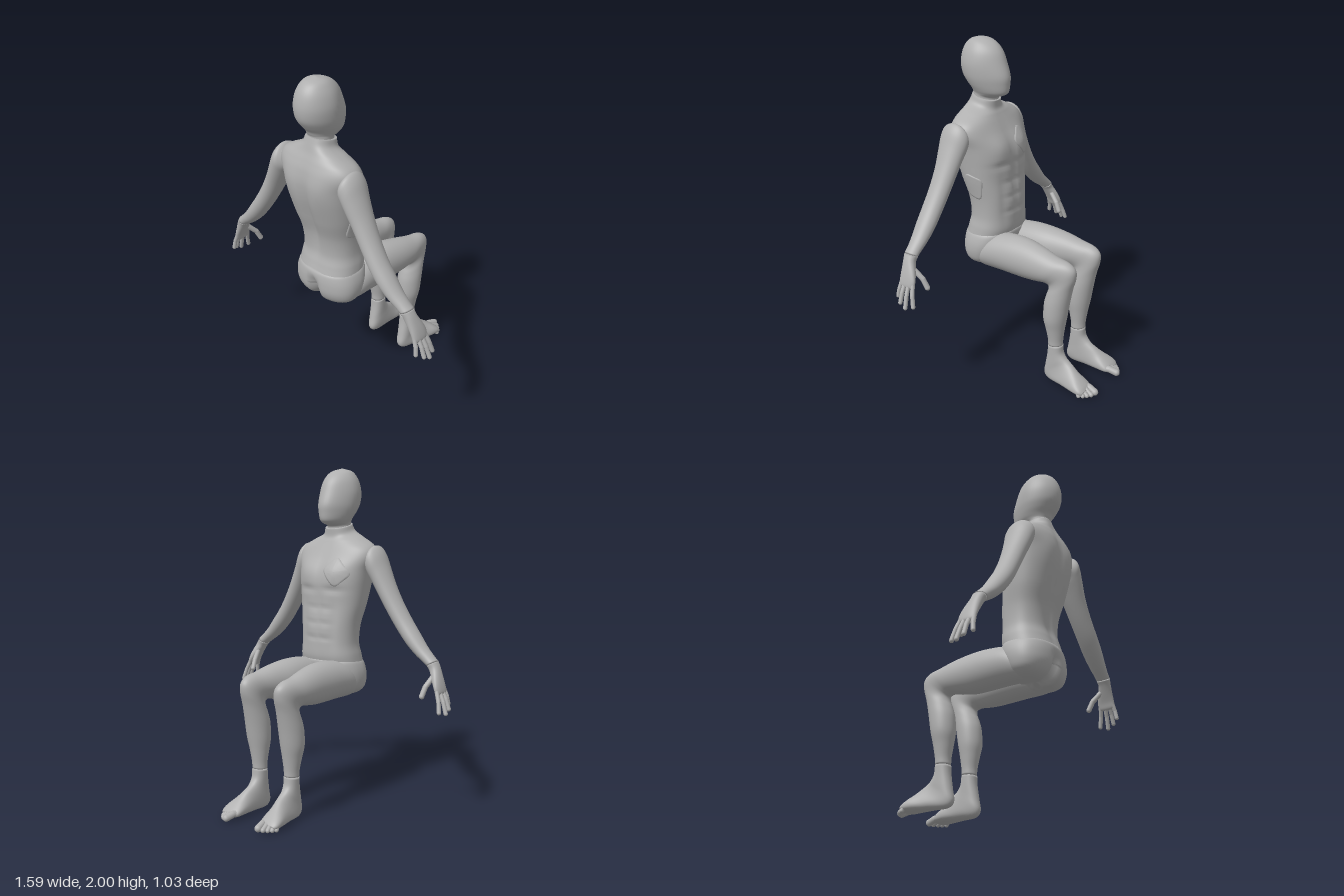
import * as THREE from 'three';
import { mergeGeometries } from 'three/addons/utils/BufferGeometryUtils.js';

const grey = new THREE.MeshStandardMaterial({ color: 0xb0b0b0 });
grey.name = 'grey';

const V = (x, y, z) => new THREE.Vector3(x, y, z);
const bell = (v, centre, width) => Math.exp(-(((v - centre) / width) ** 2));
const power = (v, e) => Math.sign(v) * Math.abs(v) ** e;

function part(name, geometry) {
  const mesh = new THREE.Mesh(geometry, grey);
  mesh.name = name;
  return mesh;
}

// Smooth skin through cross-sections. Each section is [u1, v1, u2, v2, w, halfWidth]:
// two opposite edge points in the profile plane, then centre and half width across it.
// plane 'zy' takes u=z, v=y, w=x; plane 'xy' takes u=x, v=y, w=z. side mirrors x.
function loft(sections, { plane = 'zy', side = 1, sides = 40, steps = 5, square = 1, shape } = {}) {
  const edgeA = new THREE.CatmullRomCurve3(sections.map(s => V(s[0], s[1], s[2])), false, 'catmullrom', 0.5);
  const edgeB = new THREE.CatmullRomCurve3(sections.map(s => V(s[3], s[4], s[5])), false, 'catmullrom', 0.5);
  const rings = (sections.length - 1) * steps;
  const points = [];
  const index = [];
  const add = (u, v, w) => {
    const p = plane === 'zy' ? V(w, v, u) : V(u, v, w);
    if (shape) shape(p);
    p.x *= side;
    points.push(p);
  };
  for (let i = 0; i <= rings; i++) {
    const a = edgeA.getPoint(i / rings);
    const b = edgeB.getPoint(i / rings);
    for (let j = 0; j < sides; j++) {
      const angle = (j / sides) * Math.PI * 2;
      const c = power(Math.cos(angle), square) / 2;
      const s = power(Math.sin(angle), square);
      add((a.x + a.z) / 2 + c * (a.x - a.z), (a.y + b.x) / 2 + c * (a.y - b.x), b.y + s * b.z);
    }
  }
  for (const i of [0, rings]) {
    const a = edgeA.getPoint(i / rings);
    const b = edgeB.getPoint(i / rings);
    add((a.x + a.z) / 2, (a.y + b.x) / 2, b.y);
  }
  const first = points.length - 2;
  for (let j = 0; j < sides; j++) {
    const k = (j + 1) % sides;
    for (let i = 0; i < rings; i++) {
      const r = i * sides;
      index.push(r + j, r + sides + j, r + k, r + k, r + sides + j, r + sides + k);
    }
    index.push(first, j, k, first + 1, rings * sides + k, rings * sides + j);
  }
  // turn the faces outward whichever way the sections run
  let volume = 0;
  for (let i = 0; i < index.length; i += 3) {
    const [p, q, r] = [points[index[i]], points[index[i + 1]], points[index[i + 2]]];
    volume += p.dot(q.clone().cross(r));
  }
  if (volume < 0) index.reverse();
  const geometry = new THREE.BufferGeometry().setFromPoints(points);
  geometry.setIndex(index);
  geometry.computeVertexNormals();
  return geometry;
}

// Finger or toe: a chain of capsules through the points
function digit(name, points, radius, side) {
  const pieces = points.slice(1).map((end, i) => {
    const start = points[i];
    const dir = end.clone().sub(start);
    const g = new THREE.CapsuleGeometry(radius, dir.length(), 6, 12);
    g.applyQuaternion(new THREE.Quaternion().setFromUnitVectors(V(0, 1, 0), dir.clone().normalize()));
    const mid = start.clone().lerp(end, 0.5);
    return g.translate(mid.x, mid.y, mid.z);
  });
  const mesh = part(name, mergeGeometries(pieces));
  if (side < 0) mesh.rotation.y = Math.PI, mesh.scale.z = -1;
  return mesh;
}

// Thin panel with rounded corners laid on a body surface by casting rays.
// Corners run anticlockwise seen from outside.
function panel(name, target, corners, dir) {
  const ray = new THREE.Raycaster();
  const rings = 8, around = 48, points = [], index = [];
  for (let i = 0; i <= rings + 1; i++) {
    const r = Math.min(i / rings, 1);
    for (let j = 0; j < around; j++) {
      const angle = (j / around) * Math.PI * 2;
      const u = 0.5 + 0.5 * r * power(Math.cos(angle), 0.4);
      const v = 0.5 + 0.5 * r * power(Math.sin(angle), 0.4);
      const p = corners[0].clone().lerp(corners[1], u).lerp(corners[3].clone().lerp(corners[2], u), v);
      ray.set(p.clone().addScaledVector(dir, -1), dir);
      const hit = ray.intersectObject(target)[0];
      points.push((hit ? hit.point.clone() : p).addScaledVector(dir, i > rings ? 0.002 : -0.005));
    }
  }
  for (let i = 0; i <= rings; i++) for (let j = 0; j < around; j++) {
    const a = i * around + j, b = i * around + (j + 1) % around;
    index.push(a, a + around, b, b, a + around, b + around);
  }
  const geometry = new THREE.BufferGeometry().setFromPoints(points);
  geometry.setIndex(index);
  geometry.computeVertexNormals();
  return part(name, geometry);
}

export function createModel() {
  const model = new THREE.Group();
  model.name = 'seatedMannequin';

  // Head: smooth egg, narrower towards the face
  model.add(part('head', loft([
    [.385, 1.999, .395, 1.999, 0, .008], [.33, 1.985, .45, 1.985, 0, .055], [.285, 1.96, .485, 1.955, 0, .083],
    [.25, 1.92, .507, 1.91, 0, .105], [.225, 1.86, .517, 1.85, 0, .118], [.202, 1.79, .508, 1.79, 0, .116],
    [.203, 1.74, .48, 1.745, 0, .105], [.212, 1.695, .455, 1.715, 0, .09], [.24, 1.675, .445, 1.695, 0, .078],
    [.285, 1.66, .44, 1.685, 0, .072], [.287, 1.635, .44, 1.67, 0, .072],
  ], { shape: p => { p.x *= 1 - 0.22 * THREE.MathUtils.smoothstep(0.38 - p.z, 0, 0.18); } })));

  // Torso with spine groove, chest and stomach muscles
  const torso = part('torso', loft([
    [.283, 1.645, .442, 1.68, 0, .075], [.283, 1.60, .455, 1.64, 0, .095], [.27, 1.57, .468, 1.60, 0, .165],
    [.25, 1.53, .488, 1.555, 0, .24], [.225, 1.48, .507, 1.50, 0, .262], [.185, 1.40, .518, 1.42, 0, .238],
    [.168, 1.32, .508, 1.32, 0, .224], [.168, 1.2, .475, 1.2, 0, .208], [.157, 1.08, .437, 1.08, 0, .186],
    [.156, .97, .425, .97, 0, .18], [.156, .9, .44, .9, 0, .19], [.163, .86, .455, .845, 0, .195],
  ], {
    sides: 72, steps: 8, square: 0.85,
    shape: p => {
      const x = Math.abs(p.x);
      if (p.z > 0.4) {
        p.z -= 0.024 * bell(x, 0, 0.035) * bell(p.y, 1.22, 0.28);
        p.z += 0.008 * bell(x, 0.12, 0.06) * bell(p.y, 1.42, 0.1);
      } else if (p.z < 0.3) {
        p.z -= 0.012 * bell(x, 0.1, 0.06) * bell(p.y, 1.4, 0.07);
        p.z += 0.01 * bell(x, 0, 0.018) * bell(p.y, 1.22, 0.22);
        p.z += 0.006 * bell(x, 0.1, 0.025) * bell(p.y, 1.08, 0.15);
        for (const y of [1.0, 1.09, 1.18]) p.z += 0.006 * bell(p.y, y, 0.014) * bell(x, 0.04, 0.05);
        p.z += 0.009 * bell(p.y, 1.29, 0.02) * bell(x, 0.09, 0.07);
      }
    },
  }));
  model.add(torso);

  // Panels on the chest and the flank
  model.add(panel('chestPanel', torso,
    [V(-.11, 1.30, 0), V(-.2, 1.385, 0), V(-.1, 1.49, 0), V(-.02, 1.41, 0)], V(0, 0, 1)));
  model.add(panel('flankPanel', torso,
    [V(.4, 1.11, .375), V(.4, 1.085, .27), V(.4, 1.22, .25), V(.4, 1.25, .365)], V(-1, 0, 0)));

  // Pelvis with the cleft at the back
  model.add(part('pelvis', loft([
    [.18, .875, .45, .86, 0, .18], [.158, .86, .46, .84, 0, .2], [.165, .8, .465, .79, 0, .216],
    [.19, .74, .46, .73, 0, .215], [.22, .69, .435, .68, 0, .195], [.25, .655, .39, .65, 0, .14],
    [.28, .648, .34, .646, 0, .06],
  ], {
    sides: 64, square: 0.85,
    shape: p => {
      const groove = bell(p.x, 0, 0.028);
      if (p.z > 0.3) p.z -= 0.045 * groove * THREE.MathUtils.smoothstep(0.84 - p.y, 0, 0.1) * THREE.MathUtils.smoothstep(p.z, 0.3, 0.42);
      if (p.y < 0.75) p.y += 0.03 * groove;
    },
  })));

  for (const side of [1, -1]) {
    const label = side > 0 ? 'left' : 'right';
    const limb = (name, sections, options) => model.add(part(label + name, loft(sections, { side, ...options })));

    // Leg: thigh, bent knee and shin in one skin
    limb('Leg', [
      [.32, .79, .37, .67, .11, .06], [.24, .855, .30, .645, .11, .1], [.12, .877, .17, .643, .11, .107],
      [0, .877, 0, .64, .113, .103], [-.12, .857, -.09, .65, .126, .089], [-.22, .832, -.145, .66, .134, .075],
      [-.30, .818, -.165, .655, .134, .064], [-.346, .785, -.175, .645, .132, .058], [-.35, .73, -.172, .62, .13, .058],
      [-.327, .65, -.16, .585, .13, .064], [-.305, .55, -.147, .53, .13, .071], [-.287, .45, -.143, .44, .13, .07],
      [-.272, .37, -.155, .37, .127, .057], [-.262, .3, -.168, .3, .125, .046], [-.26, .26, -.17, .255, .124, .043],
    ]);

    // Foot: ankle, heel and sole, splayed slightly outward
    limb('Foot', [
      [-.259, .257, -.171, .252, .124, .042], [-.265, .21, -.166, .19, .124, .042], [-.285, .18, -.152, .11, .125, .042],
      [-.31, .16, -.142, .045, .125, .042], [-.34, .14, -.175, .012, .129, .045], [-.375, .112, -.27, .01, .138, .053],
      [-.41, .085, -.36, .01, .146, .064], [-.44, .06, -.42, .01, .15, .064], [-.458, .04, -.448, .014, .15, .05],
    ], { square: 0.85 });
    [[.108, .125, .496, .021], [.138, .153, .488, .014], [.159, .174, .472, .013], [.178, .191, .454, .013], [.192, .203, .432, .013]]
      .forEach(([x, tipX, tipZ, r], i) => model.add(digit(label + 'Toe' + (i + 1),
        [V(x, .036, -.41), V((x + tipX) / 2, .036, -(.41 + tipZ) / 2), V(tipX, r + .003, -tipZ)], r, side)));

    // Arm: shoulder cap to wrist
    limb('Arm', [
      [.23, 1.53, .2, 1.41, .393, .06], [.262, 1.55, .222, 1.388, .395, .09], [.3, 1.51, .236, 1.36, .395, .092],
      [.335, 1.43, .262, 1.315, .398, .083], [.38, 1.33, .302, 1.245, .4, .072], [.435, 1.225, .36, 1.15, .405, .065],
      [.495, 1.13, .422, 1.06, .41, .062], [.555, 1.05, .485, .985, .41, .059], [.61, .98, .545, .93, .408, .051],
      [.655, .935, .595, .895, .405, .044], [.688, .905, .63, .872, .403, .042],
    ], { plane: 'xy' });

    // Hand: palm, fingers and thumb
    limb('Palm', [
      [.687, .903, .632, .872, .403, .041], [.705, .87, .652, .845, .4, .038], [.726, .82, .682, .795, .387, .047],
      [.741, .775, .704, .757, .38, .053], [.749, .738, .717, .728, .38, .051], [.744, .722, .726, .716, .38, .035],
    ], { plane: 'xy', square: 0.85 });
    [[.34, .765, .63, .312], [.368, .783, .62, .355], [.395, .778, .64, .395], [.42, .752, .662, .432]]
      .forEach(([z, tipX, tipY, tipZ], i) => model.add(digit(label + 'Finger' + (i + 1),
        [V(.728, .75, z), V((.738 + tipX) / 2, (.75 + tipY) / 2, (z + tipZ) / 2), V(tipX, tipY, tipZ)], .0125, side)));
    model.add(digit(label + 'Thumb', [V(.685, .82, .37), V(.667, .765, .318), V(.66, .713, .293)], .0155, side));
  }
  return model;
}
